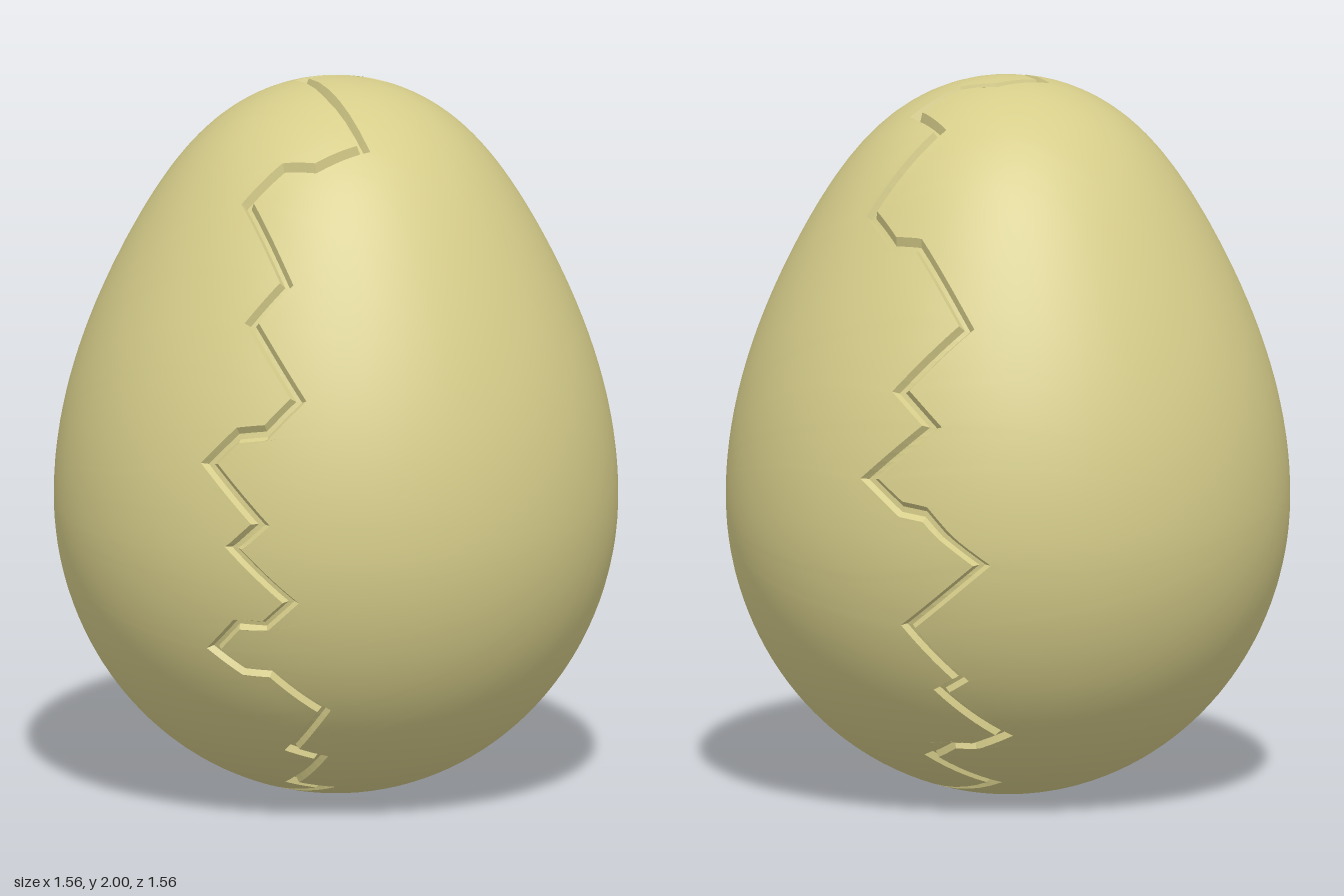
import * as THREE from 'three';

const R = 0.78, MID = 0.83, TOP = 1.17; // girth radius, height of girth, height above it
const STEPS = 6, COLS = 30;             // subdivisions per crack segment, and from crack to side

// slight taper of the upper part of the egg
const taper = (s) => (s > 0 ? 1 - 0.065 * Math.sin(Math.PI * Math.pow(Math.min(s, 1), 1.9)) : 1);

// Egg surface: theta turns about the x axis, alpha leans towards +x
function eggPoint(theta, alpha, depth = 0) {
  const sy = Math.cos(alpha) * Math.sin(theta);
  const sz = Math.cos(alpha) * Math.cos(theta);
  const r = R * taper(sy) * (1 - depth);
  return new THREE.Vector3(
    r * Math.sin(alpha),
    MID + sy * (sy > 0 ? TOP : MID) * (1 - depth),
    r * sz
  );
}

// Corners of the crack: down the front, then under and up the back
const frontCrack = [
  [-0.1, 1.98, 0], [0.19, 1.85, 0.28], [0.09, 1.82, 0.38], [0, 1.81, 0.39], [-0.08, 1.72, 0.46],
  [0.08, 1.52, 0.57], [0, 1.42, 0.63], [0.16, 1.23, 0.69], [0.08, 1.14, 0.73], [0, 1.13, 0.74],
  [-0.08, 1.05, 0.76], [0.08, 0.89, 0.78], [0, 0.82, 0.78], [0.16, 0.67, 0.75], [0.08, 0.6, 0.74],
  [0, 0.6, 0.75], [-0.08, 0.52, 0.72], [0, 0.46, 0.7], [0.08, 0.46, 0.69], [0.2, 0.34, 0.6],
  [0.07, 0.21, 0.51], [0.14, 0.18, 0.47], [0, 0.08, 0.33], [0.08, 0.06, 0.28], [-0.13, 0.03, 0.17],
];
const backCrack = [
  [0.1, 0.02, -0.13], [0.18, 0.04, -0.14], [-0.06, 0.07, -0.32], [0.08, 0.16, -0.46], [0, 0.21, -0.51],
  [-0.06, 0.2, -0.51], [-0.15, 0.25, -0.52], [-0.01, 0.38, -0.65], [-0.07, 0.42, -0.66], [0.06, 0.57, -0.73],
  [-0.16, 0.75, -0.76], [0, 0.89, -0.78], [0.07, 0.9, -0.77], [0.17, 0.98, -0.76], [-0.01, 1.13, -0.74],
  [0.09, 1.22, -0.71], [-0.08, 1.39, -0.64], [0.09, 1.59, -0.53], [0.17, 1.6, -0.52], [0.26, 1.67, -0.44],
  [0.1, 1.87, -0.3], [0.2, 1.9, -0.2], [0.1, 1.97, -0.11], [0, 1.98, -0.1],
];

// Corners as (theta, alpha), with theta running on without a jump
const corners = [];
for (const [x, y, z] of [...frontCrack, ...backCrack]) {
  const sy = (y - MID) / (y > MID ? TOP : MID);
  const r = R * taper(sy);
  let theta = Math.atan2(sy, z / r);
  const last = corners.length ? corners[corners.length - 1].x : theta;
  while (theta - last > Math.PI) theta -= 2 * Math.PI;
  corners.push(new THREE.Vector2(theta, Math.atan2(x / r, Math.hypot(sy, z / r))));
}

// Reads a closed list of (theta, alpha) past either end
function around(list, i) {
  const n = list.length, turn = Math.floor(i / n);
  const p = list[i - turn * n];
  return new THREE.Vector2(p.x - turn * 2 * Math.PI, p.y);
}

// Crack line shifted sideways with mitred corners, then subdivided
function crackLine(offset) {
  const normal = (i) => {
    const d = around(corners, i + 1).sub(around(corners, i)).normalize();
    return new THREE.Vector2(-d.y, d.x).negate();
  };
  const shifted = corners.map((c, i) => {
    const a = normal(i - 1), b = normal(i);
    const scale = offset / Math.max(0.5, 1 + a.dot(b));
    return c.clone().addScaledVector(a.add(b), scale);
  });
  const line = [];
  shifted.forEach((p, i) => {
    const q = around(shifted, i + 1);
    for (let s = 0; s < STEPS; s++) line.push(p.clone().lerp(q, s / STEPS));
  });
  return line;
}

// Skin over closed columns of points, ordered from -x to +x
function skin(columns) {
  const n = columns[0].length, index = [];
  for (let k = 0; k < columns.length - 1; k++) {
    for (let i = 0; i < n; i++) {
      const j = (i + 1) % n;
      const a = k * n + i, b = k * n + j, c = a + n, d = b + n;
      index.push(a, b, c, b, d, c);
    }
  }
  const geometry = new THREE.BufferGeometry().setFromPoints(columns.flat());
  geometry.setIndex(index);
  geometry.computeVertexNormals();
  return geometry;
}

// Half shell from the crack edge to the side pole; side is +1 or -1
function halfShell(side, edge) {
  const n = edge.length, W = 14;
  // even out the zigzag in theta away from the crack
  const calm = edge.map((_, i) => {
    let sum = 0;
    for (let w = -W; w <= W; w++) sum += around(edge, i + w).x;
    return sum / (2 * W + 1);
  });
  const columns = [];
  for (let k = 0; k <= COLS; k++) {
    const t = k / COLS;
    columns.push(edge.map((p, i) => eggPoint(
      THREE.MathUtils.lerp(p.x, calm[i], Math.min(1, t * 4)),
      THREE.MathUtils.lerp(p.y, side * Math.PI / 2, t)
    )));
  }
  if (side < 0) columns.reverse();
  const geometry = skin(columns);
  const first = side > 0 ? COLS * n : 0;
  for (let i = 0; i < n; i++) geometry.attributes.normal.setXYZ(first + i, side, 0, 0);
  return geometry;
}

export function createModel() {
  const group = new THREE.Group();
  group.name = 'crackedEgg';
  const shell = new THREE.MeshStandardMaterial({ color: 0xd6cd8a, side: THREE.DoubleSide });
  const add = (name, geometry) => {
    const mesh = new THREE.Mesh(geometry, shell);
    mesh.name = name;
    group.add(mesh);
  };

  const width = 0.019, floor = 0.007, depth = 0.022;
  // the sideways normal points to +x, so positive offsets lie on the left half
  const sign = crackLine(width)[STEPS / 2].y > crackLine(-width)[STEPS / 2].y ? 1 : -1;
  const leftEdge = crackLine(sign * width), rightEdge = crackLine(-sign * width);
  add('leftShell', halfShell(1, leftEdge));
  add('rightShell', halfShell(-1, rightEdge));

  // Groove walls and floor, with sharp edges
  const onEgg = (line, d) => line.map((p) => eggPoint(p.x, p.y, d));
  const groove = skin([
    onEgg(rightEdge, 0),
    onEgg(crackLine(-sign * floor), depth),
    onEgg(crackLine(sign * floor), depth),
    onEgg(leftEdge, 0),
  ]).toNonIndexed();
  groove.computeVertexNormals();
  add('crackGroove', groove);
  return group;
}
